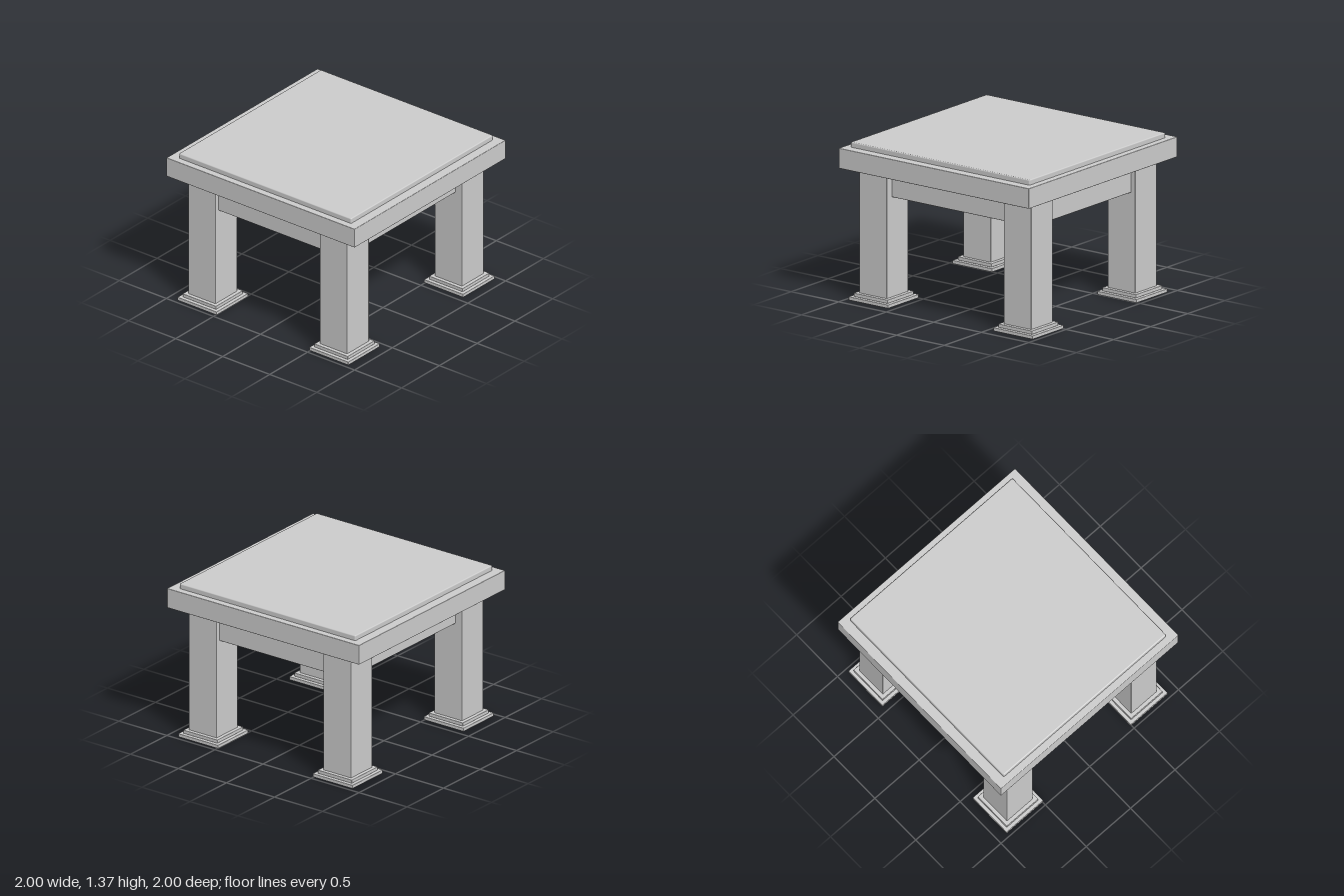
import * as THREE from 'three';
import { RoundedBoxGeometry } from 'three/addons/geometries/RoundedBoxGeometry.js';

export function createModel() {
  const table = new THREE.Group();
  table.name = 'table';
  const material = new THREE.MeshStandardMaterial({ color: 0xcccccc });

  // Softly rounded block spanning y0..y1, centred on (x, z)
  function block(parent, name, width, depth, y0, y1, x = 0, z = 0, radius = 0.006) {
    const geometry = new RoundedBoxGeometry(width, y1 - y0, depth, 2, radius);
    const mesh = new THREE.Mesh(geometry, material);
    mesh.name = name;
    mesh.position.set(x, (y0 + y1) / 2, z);
    parent.add(mesh);
  }

  const legX = 0.7, legZ = 0.76, legWidth = 0.29;
  const apronY0 = 0.92, topY0 = 1.15, topY1 = 1.325;

  // Table top with a raised panel
  block(table, 'tableTop', 2, 2, topY0, topY1);
  block(table, 'topPanel', 1.83, 1.88, topY1 - 0.01, 1.37, 0, 0, 0.01);

  // Square legs on two-step feet
  for (const [sideX, nameX] of [[1, 'Left'], [-1, 'Right']]) {
    for (const [sideZ, nameZ] of [[1, 'front'], [-1, 'back']]) {
      const leg = new THREE.Group();
      leg.name = `${nameZ}${nameX}Leg`;
      leg.position.set(sideX * legX, 0, sideZ * legZ);
      block(leg, 'footBase', 0.415, 0.415, 0, 0.03, 0, 0, 0.003);
      block(leg, 'footStep', 0.355, 0.355, 0.03, 0.06, 0, 0, 0.003);
      block(leg, 'legPost', legWidth, legWidth, 0.055, topY0 + 0.01);
      table.add(leg);
    }
  }

  // Aprons between the legs, set back from the outer leg faces
  const spanX = 2 * legX - legWidth + 0.03;
  const spanZ = 2 * legZ - legWidth + 0.03;
  for (const side of [1, -1]) {
    block(table, side > 0 ? 'frontApron' : 'backApron', spanX, 0.185, apronY0, topY0 + 0.01, 0, side * 0.77);
    block(table, side > 0 ? 'leftApron' : 'rightApron', 0.185, spanZ, apronY0, topY0 + 0.01, side * 0.685, 0);
  }

  return table;
}
